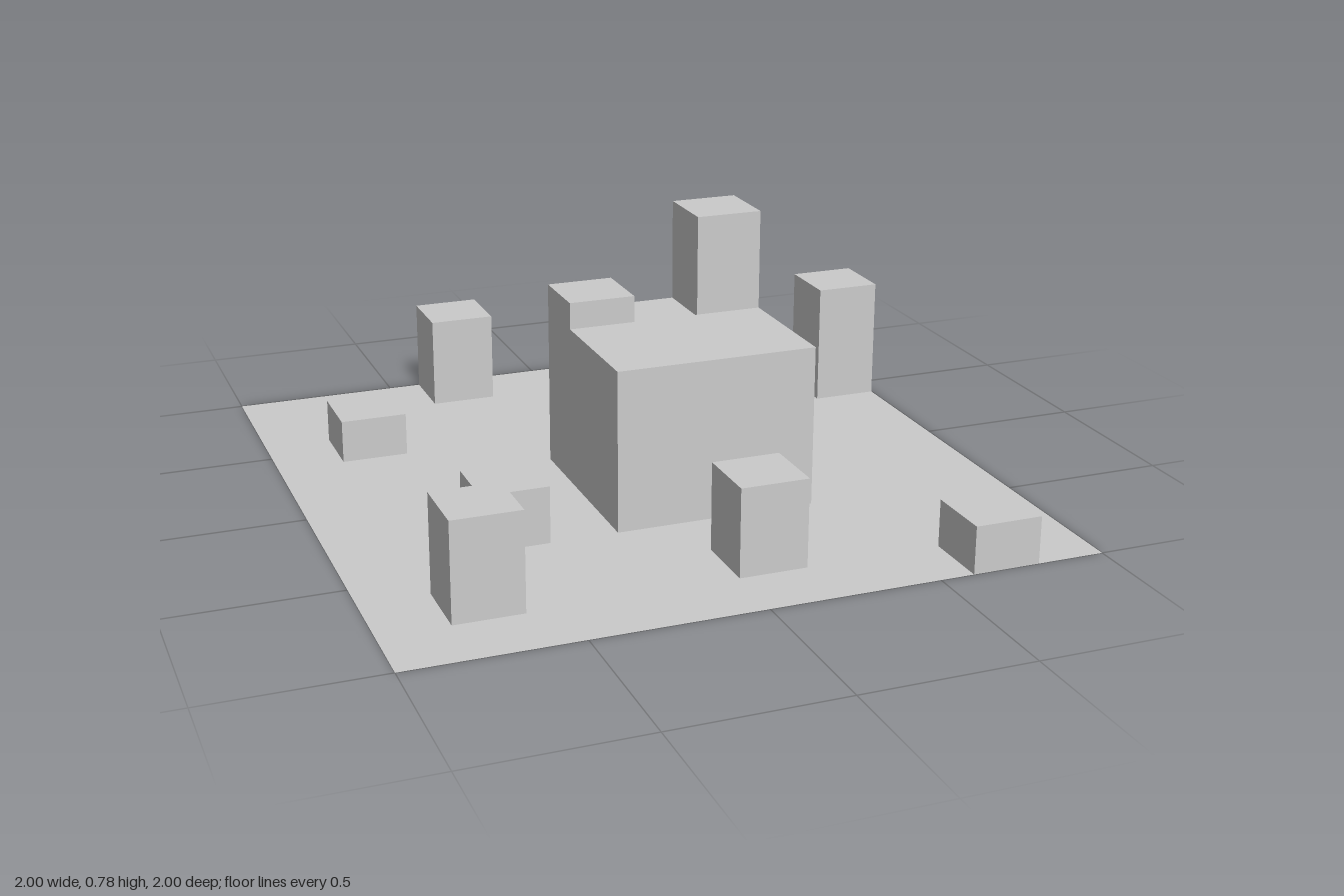
import * as THREE from 'three';
import { mergeGeometries } from 'three/addons/utils/BufferGeometryUtils.js';

const N = 10, S = 0.2;

// Raised areas in grid cells: first column, first row (from the back), columns, rows, height
const raised = [
  ['mainBuilding', 4, 5, 3, 2, 0.48],
  ['shortTower', 4, 4, 1, 1, 0.56],
  ['rearTerrace', 5, 4, 1, 1, 0.475],
  ['tallTower', 6, 4, 1, 1, 0.78],
  ['backBlock', 3, 0, 1, 1, 0.28],
  ['backRightBlock', 1, 2, 1, 1, 0.13],
  ['backLeftBlock', 9, 2, 1, 1, 0.375],
  ['middleBlock', 2, 6, 1, 1, 0.17],
  ['frontRightBlock', 1, 8, 1, 1, 0.29],
  ['frontMiddleBlock', 5, 8, 1, 1, 0.26],
  ['frontLeftBlock', 8, 9, 1, 1, 0.14],
];

export function createModel() {
  const group = new THREE.Group();
  const material = new THREE.MeshStandardMaterial({
    color: 0xcccccc, flatShading: true, side: THREE.DoubleSide,
  });

  // Height of every grid cell; anything outside the grid is at ground level
  const heights = Array.from({ length: N }, () => new Array(N).fill(0));
  for (const [, c, r, w, d, h] of raised)
    for (let j = r; j < r + d; j++) for (let i = c; i < c + w; i++) heights[j][i] = h;
  const heightAt = (i, j) => heights[j]?.[i] ?? 0;

  // Horizontal top of one cell
  const top = (i, j) => new THREE.PlaneGeometry(S, S).rotateX(-Math.PI / 2)
    .translate((i + 0.5) * S - 1, heightAt(i, j), (j + 0.5) * S - 1);

  // Vertical walls of one cell, only where it rises above its neighbour
  const walls = (i, j) => {
    const parts = [];
    for (const [di, dj] of [[1, 0], [-1, 0], [0, 1], [0, -1]]) {
      const h = heightAt(i, j), low = heightAt(i + di, j + dj);
      if (h <= low) continue;
      parts.push(new THREE.PlaneGeometry(S, h - low).rotateY(Math.atan2(di, dj)).translate(
        (i + 0.5 + di / 2) * S - 1, (h + low) / 2, (j + 0.5 + dj / 2) * S - 1));
    }
    return parts;
  };

  const add = (name, parts) => {
    const mesh = new THREE.Mesh(mergeGeometries(parts), material);
    mesh.name = name;
    group.add(mesh);
  };

  // Ground sheet, open beneath the hollow blocks
  const ground = [];
  for (let j = 0; j < N; j++) for (let i = 0; i < N; i++)
    if (heightAt(i, j) === 0) ground.push(top(i, j));
  add('ground', ground);

  // Hollow blocks, open at the bottom
  for (const [name, c, r, w, d] of raised) {
    const parts = [];
    for (let j = r; j < r + d; j++) for (let i = c; i < c + w; i++)
      parts.push(top(i, j), ...walls(i, j));
    add(name, parts);
  }
  return group;
}
